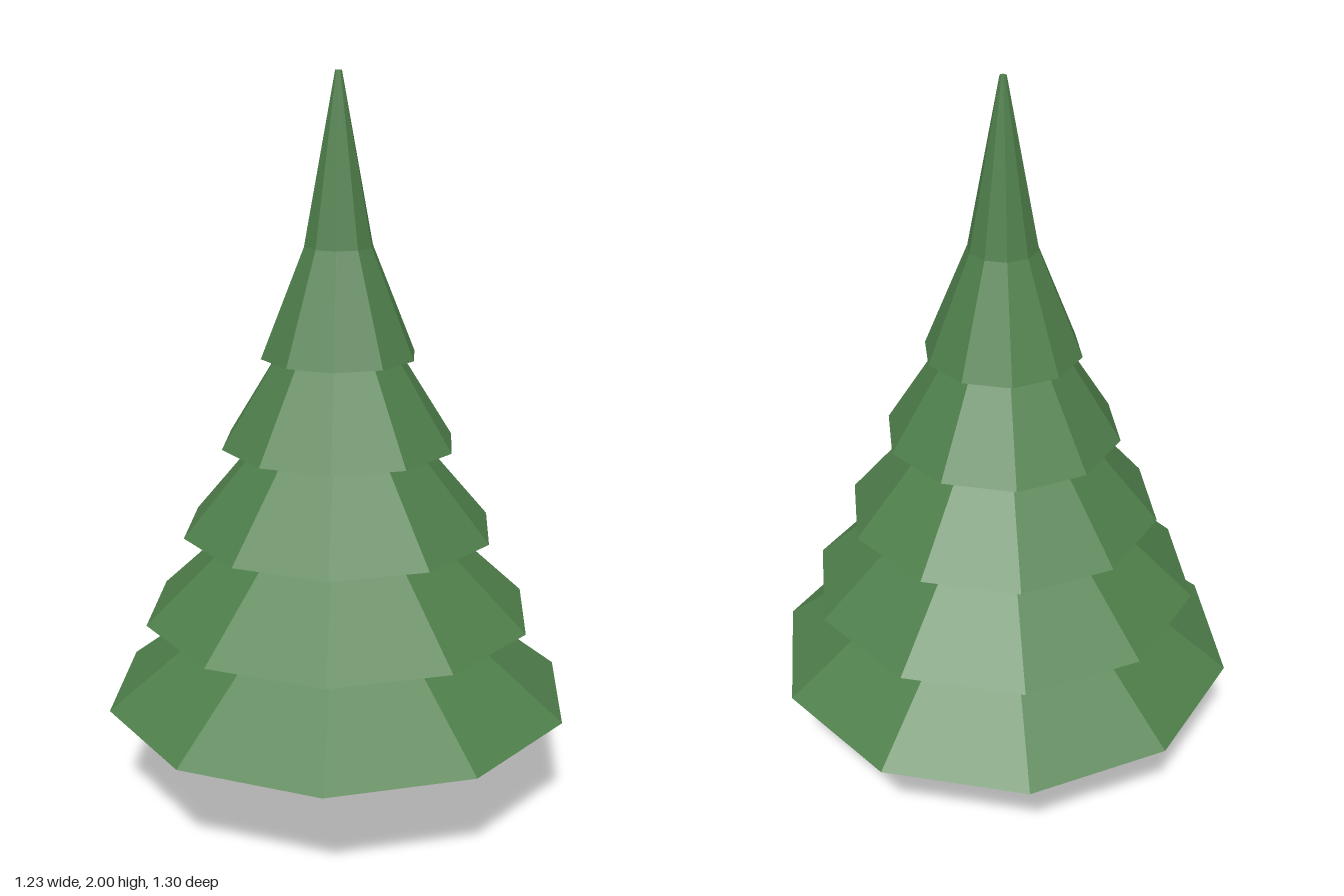
import * as THREE from 'three';

const SIDES = 10;

export function createModel() {
  const tree = new THREE.Group();
  tree.name = 'pineTree';

  const needles = new THREE.MeshStandardMaterial({ color: 0x4f7f4b, flatShading: true });
  needles.name = 'needleGreen';
  const bark = new THREE.MeshStandardMaterial({ color: 0x786656, flatShading: true });
  bark.name = 'barkBrown';

  // Closed ten-sided frustum standing on height y
  function frustum(name, topRadius, bottomRadius, y, height, material) {
    const geometry = new THREE.CylinderGeometry(topRadius, bottomRadius, height, SIDES);
    geometry.translate(0, y + height / 2, 0);
    const mesh = new THREE.Mesh(geometry, material);
    mesh.name = name;
    tree.add(mesh);
  }

  // Slightly tapered trunk, its top hidden in the lowest tier
  frustum('trunk', 0.051, 0.057, 0, 0.34, bark);

  // Six overlapping skirts of branches, narrowing evenly to the tip
  const tiers = 6;
  for (let i = 0; i < tiers; i++) {
    const radius = 0.648 - i * 0.109;
    const y = 0.295 + i * 0.241;
    frustum(i === tiers - 1 ? 'treeTip' : `branchTier${i + 1}`, 0.009, radius, y, 0.5, needles);
  }

  return tree;
}
